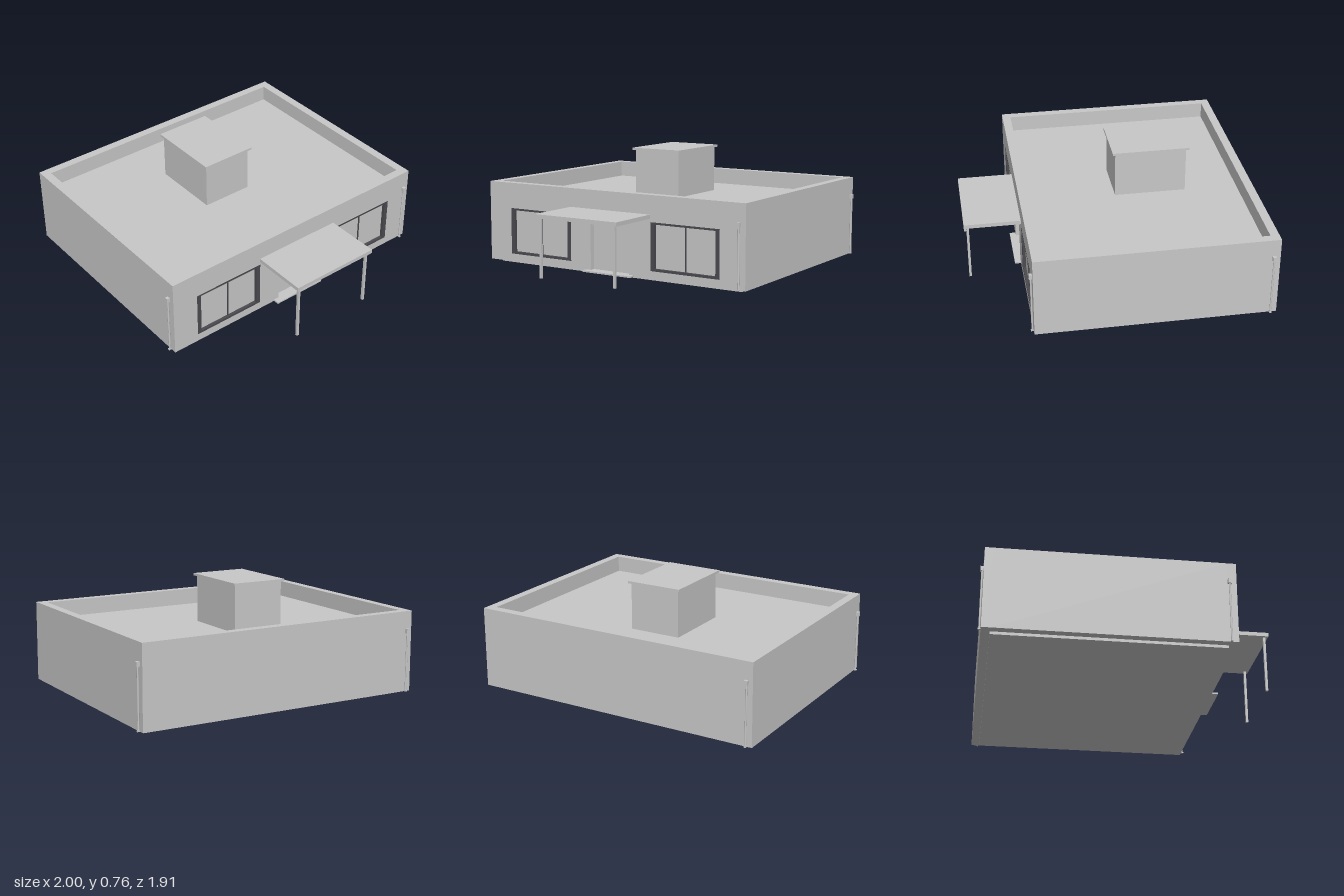
import * as THREE from 'three';

const plaster = new THREE.MeshStandardMaterial({ color: 0xc8c8c8 });
plaster.name = 'plaster grey';
const darkMetal = new THREE.MeshStandardMaterial({ color: 0x4b4a50 });
darkMetal.name = 'frame dark grey';

// Body limits
const X = 0.98, BACK = -0.94, FRONT = 0.588, BASE = 0.018, TOP = 0.548, WALL = 0.057, ROOF = 0.44;

// Box given by its limits on each axis
function box(name, parent, [x0, x1], [y0, y1], [z0, z1], material = plaster) {
  const mesh = new THREE.Mesh(new THREE.BoxGeometry(x1 - x0, y1 - y0, z1 - z0), material);
  mesh.position.set((x0 + x1) / 2, (y0 + y1) / 2, (z0 + z1) / 2);
  mesh.name = name;
  parent.add(mesh);
  return mesh;
}

function rectPath(x0, x1, y0, y1, Type = THREE.Path) {
  return new Type([[x0, y0], [x1, y0], [x1, y1], [x0, y1]].map(([x, y]) => new THREE.Vector2(x, y)));
}

// Flat shape extruded so that its outer face lies at zFront
function panel(name, parent, shape, depth, zFront, material) {
  const mesh = new THREE.Mesh(new THREE.ExtrudeGeometry(shape, { depth, bevelEnabled: false }), material);
  mesh.position.z = zFront - depth;
  mesh.name = name;
  parent.add(mesh);
}

const WIN = { x0: 0.307, x1: 0.803, y0: 0.07, y1: 0.378 };
const DOOR = { x0: -0.15, x1: 0.146, y1: 0.356 };

function buildWalls(house) {
  const walls = new THREE.Group();
  walls.name = 'walls';
  house.add(walls);
  // Front wall with a door notch and two window openings
  const front = new THREE.Shape([
    [-X, BASE], [DOOR.x0, BASE], [DOOR.x0, DOOR.y1], [DOOR.x1, DOOR.y1],
    [DOOR.x1, BASE], [X, BASE], [X, TOP], [-X, TOP],
  ].map(([x, y]) => new THREE.Vector2(x, y)));
  front.holes.push(rectPath(WIN.x0, WIN.x1, WIN.y0, WIN.y1), rectPath(-WIN.x1, -WIN.x0, WIN.y0, WIN.y1));
  panel('frontWall', walls, front, WALL, FRONT, plaster);
  box('backWall', walls, [-X, X], [BASE, TOP], [BACK, BACK + WALL]);
  for (const [name, x0] of [['leftWall', X - WALL], ['rightWall', -X]]) {
    box(name, walls, [x0, x0 + WALL], [BASE, TOP], [BACK + WALL, FRONT - WALL]);
  }
  box('roof', house, [-X + WALL, X - WALL], [ROOF - 0.04, ROOF], [BACK + WALL, FRONT - WALL]);
  box('plinth', house, [-0.928, 0.928], [0, 0.026], [-0.886, 0.535]);
}

function buildWindow(house, name, centerX) {
  const win = new THREE.Group();
  win.name = name;
  win.position.x = centerX;
  house.add(win);
  const w = (WIN.x1 - WIN.x0) / 2;
  const frame = rectPath(-w, w, WIN.y0, WIN.y1, THREE.Shape);
  frame.holes.push(rectPath(-w + 0.029, w - 0.029, WIN.y0 + 0.015, WIN.y1 - 0.013));
  panel('windowFrame', win, frame, 0.03, FRONT, darkMetal);
  box('windowPane', win, [-w, w], [WIN.y0, WIN.y1], [FRONT - 0.04, FRONT - 0.02]);
  box('windowMullion', win, [-0.003, 0.003], [WIN.y0, WIN.y1], [FRONT - 0.022, FRONT - 0.012], darkMetal);
}

function buildEntrance(house) {
  const entrance = new THREE.Group();
  entrance.name = 'entrance';
  house.add(entrance);
  box('door', entrance, [DOOR.x0, DOOR.x1], [BASE, DOOR.y1], [FRONT - 0.055, FRONT - 0.035]);
  box('doorStep', entrance, [-0.188, 0.183], [BASE, 0.028], [FRONT - 0.04, 0.628]);
  box('canopy', entrance, [-0.309, 0.305], [0.399, 0.425], [FRONT, 0.955]);
  for (const x of [-0.283, 0.276]) {
    box('canopyPost', entrance, [x - 0.008, x + 0.008], [BASE, 0.4], [0.922, 0.938]);
  }
}

// Rainwater pipe with a square hopper; local +z points away from the wall
function buildDownpipe(house, x, z, angle) {
  const pipe = new THREE.Group();
  pipe.name = 'downpipe';
  pipe.position.set(x, 0, z);
  pipe.rotation.y = angle;
  house.add(pipe);
  const tube = new THREE.Mesh(new THREE.CylinderGeometry(0.006, 0.006, 0.39, 12), plaster);
  tube.position.set(0, BASE + 0.195, 0.008);
  tube.name = 'pipe';
  pipe.add(tube);
  box('hopper', pipe, [-0.011, 0.011], [0.404, 0.434], [0, 0.02]);
  box('pipeShoe', pipe, [-0.007, 0.007], [BASE, 0.026], [0, 0.018]);
}

export function createModel() {
  const house = new THREE.Group();
  house.name = 'house';
  buildWalls(house);
  const mid = (WIN.x0 + WIN.x1) / 2;
  buildWindow(house, 'leftWindow', mid);
  buildWindow(house, 'rightWindow', -mid);
  buildEntrance(house);

  // Roof access block with an overhanging cap
  box('roofBlock', house, [-0.236, 0.108], [ROOF, 0.748], [-0.532, -0.06]);
  box('roofBlockCap', house, [-0.252, 0.124], [0.745, 0.76], [-0.549, -0.041]);

  // One downpipe near each corner
  buildDownpipe(house, 0.937, FRONT, 0);
  buildDownpipe(house, X, -0.899, Math.PI / 2);
  buildDownpipe(house, -0.942, BACK, Math.PI);
  buildDownpipe(house, -X, 0.543, -Math.PI / 2);
  return house;
}
